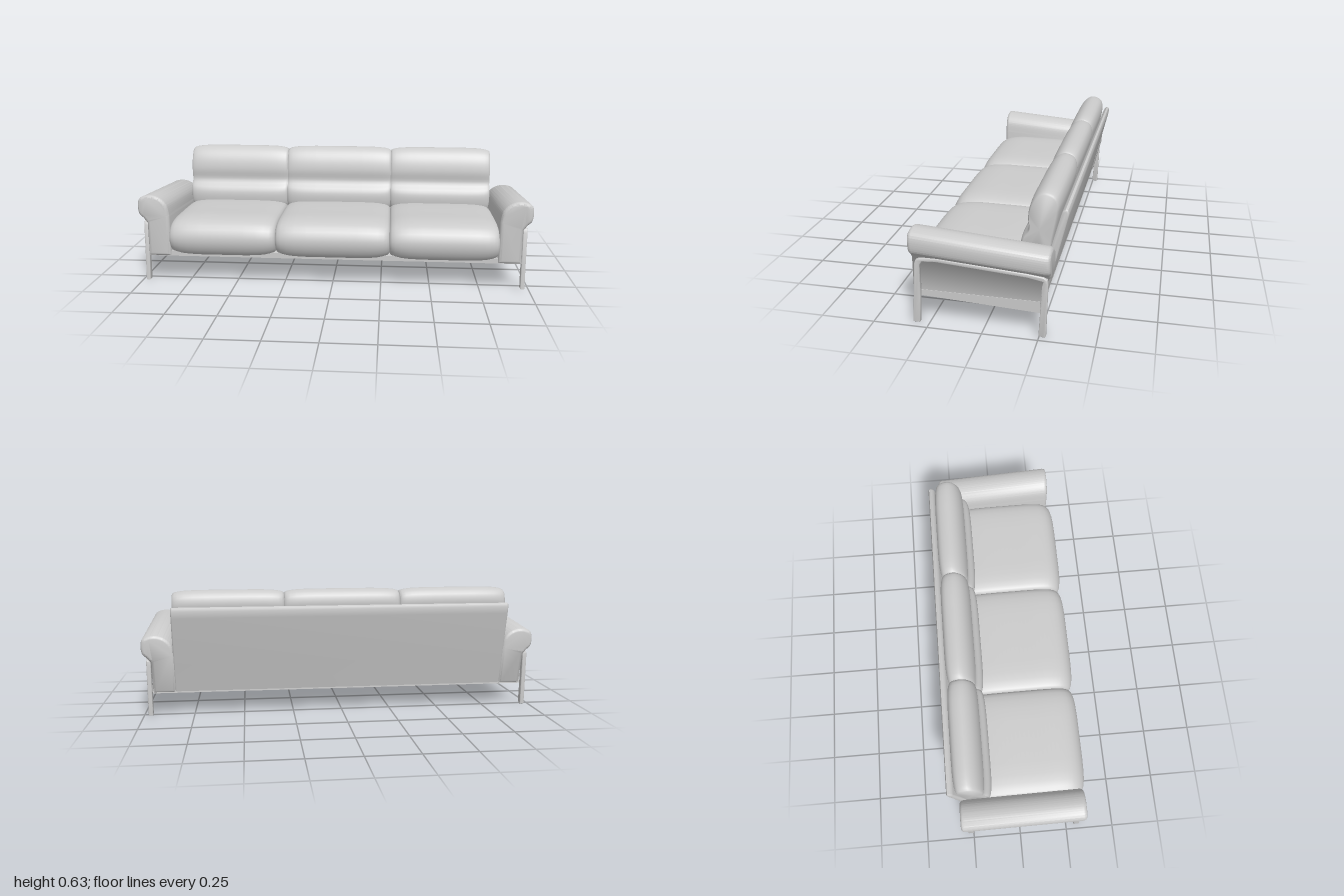
import * as THREE from 'three';
import { toCreasedNormals } from 'three/addons/utils/BufferGeometryUtils.js';

const material = new THREE.MeshStandardMaterial({ color: 0xcccccc });

function addMesh(parent, name, geometry, crease = 0.7) {
  const mesh = new THREE.Mesh(toCreasedNormals(geometry, crease), material);
  mesh.name = name;
  parent.add(mesh);
  return mesh;
}

// Extrudes a [z, y] outline along x, centred on cx.
function slab(shape, width, cx, bevel) {
  const geometry = new THREE.ExtrudeGeometry(shape, {
    depth: width - 2 * bevel, bevelEnabled: bevel > 0, bevelSize: bevel,
    bevelOffset: -bevel, bevelThickness: bevel, bevelSegments: 3, curveSegments: 8,
  });
  geometry.rotateY(-Math.PI / 2);
  geometry.translate(cx + width / 2 - bevel, 0, 0);
  return geometry;
}

const outline = (points) => new THREE.Shape(points.map(([z, y]) => new THREE.Vector2(z, y)));

// Lofts a closed [z, y] profile from x0 to x1, drawn in towards both ends.
function cushion(profile, x0, x1, pinch) {
  const curve = new THREE.CatmullRomCurve3(
    profile.map(([z, y]) => new THREE.Vector3(0, y, z)), true, 'centripetal');
  const n = 64;
  const ring = curve.getSpacedPoints(n).slice(0, n);
  const box = new THREE.Box3().setFromPoints(ring);
  const mid = box.getCenter(new THREE.Vector3());
  const half = box.getSize(new THREE.Vector3()).multiplyScalar(0.5);
  // [distance from the end, share of the pinch]; null closes the end
  const ends = [[0, null], [0, 1], [0.004, 0.75], [0.013, 0.53], [0.03, 0.33], [0.06, 0.15], [0.1, 0.05], [0.16, 0]];
  const stations = [
    ...ends.map(([d, k]) => [x0 + d, k]),
    ...ends.map(([d, k]) => [x1 - d, k]).reverse(),
  ];
  const positions = [], index = [];
  stations.forEach(([x, k], i) => {
    const sy = k === null ? 0 : 1 - (pinch * k) / half.y;
    const sz = k === null ? 0 : 1 - (pinch * k) / half.z;
    ring.forEach((p, j) => {
      positions.push(x, mid.y + (p.y - mid.y) * sy, mid.z + (p.z - mid.z) * sz);
      if (i === stations.length - 1) return;
      const a = i * n + j, b = i * n + ((j + 1) % n);
      index.push(a, b, a + n, b, b + n, a + n);
    });
  });
  const geometry = new THREE.BufferGeometry();
  geometry.setAttribute('position', new THREE.Float32BufferAttribute(positions, 3));
  geometry.setIndex(index);
  return geometry;
}

// Rolled armrest: one cross-section run front to back, sloping down to the rear.
function armGeometry(side) {
  const v = (x, y) => new THREE.Vector2(side * x, y);
  const shape = new THREE.Shape();
  shape.moveTo(side * 0.955, 0.14);
  shape.lineTo(side * 0.955, 0.315);
  shape.splineThru([
    v(0.972, 0.338), v(0.996, 0.365), v(1, 0.415), v(0.985, 0.447),
    v(0.935, 0.461), v(0.885, 0.447), v(0.85, 0.41), v(0.838, 0.35),
  ]);
  shape.lineTo(side * 0.838, 0.14);
  const bevel = 0.018;
  const geometry = new THREE.ExtrudeGeometry(shape, {
    depth: 0.622 - 2 * bevel, bevelSize: bevel, bevelOffset: -bevel,
    bevelThickness: bevel, bevelSegments: 4, curveSegments: 40,
  });
  geometry.translate(0, 0, -0.3 + bevel);
  const pos = geometry.attributes.position;
  for (let i = 0; i < pos.count; i++) {
    let y = pos.getY(i), z = pos.getZ(i);
    y -= (0.31 - z) * (0.05 + 0.1 * (y - 0.14));
    if (z < 0) z += Math.max(0, 0.29 - y) * 0.25;
    pos.setXYZ(i, pos.getX(i), y, z);
  }
  return geometry;
}

export function createModel() {
  const sofa = new THREE.Group();
  sofa.name = 'sofa';

  // Sloping base under the seat
  addMesh(sofa, 'base', slab(outline([
    [0.308, 0.138], [0.308, 0.165], [-0.25, 0.165], [-0.252, 0.11],
  ]), 1.914, 0, 0));

  // Leaning back panel
  addMesh(sofa, 'backPanel', slab(outline([
    [-0.25, 0.11], [-0.2, 0.112], [-0.25, 0.28], [-0.318, 0.53], [-0.325, 0.545],
    [-0.337, 0.553], [-0.347, 0.549], [-0.352, 0.535], [-0.345, 0.5], [-0.287, 0.26],
  ]), 1.69, 0, 0.008));

  // Three seat and three back cushions
  const seatProfile = [
    [0.1, 0.34], [0.24, 0.337], [0.31, 0.318], [0.343, 0.28], [0.354, 0.235], [0.342, 0.185],
    [0.315, 0.152], [0.2, 0.145], [-0.22, 0.14], [-0.26, 0.2], [-0.25, 0.29], [-0.18, 0.325],
  ];
  const backProfile = [
    [-0.25, 0.629], [-0.212, 0.612], [-0.182, 0.57], [-0.166, 0.505], [-0.17, 0.445], [-0.16, 0.425],
    [-0.137, 0.395], [-0.13, 0.35], [-0.145, 0.29], [-0.2, 0.27], [-0.262, 0.28], [-0.288, 0.4],
    [-0.315, 0.535], [-0.318, 0.57], [-0.303, 0.611],
  ];
  const seams = [-0.842, -0.292, 0.292, 0.842];
  ['right', 'middle', 'left'].forEach((place, i) => {
    addMesh(sofa, place + 'SeatCushion', cushion(seatProfile, seams[i], seams[i + 1], 0.034), 0.9);
    addMesh(sofa, place + 'BackCushion', cushion(backProfile, seams[i], seams[i + 1], 0.02), 0.9);
  });

  // Flat-bar end frame: two legs joined by a rail under the arm roll
  const frameShape = outline([
    [0.322, 0.008], [0.312, 0.14], [0.302, 0.3], [0.294, 0.318], [0.275, 0.328], [0.2, 0.332],
    [-0.2, 0.302], [-0.27, 0.292], [-0.285, 0.28], [-0.288, 0.26], [-0.28, 0.004],
    [-0.268, 0], [-0.248, 0.008], [-0.254, 0.11], [-0.262, 0.25], [-0.268, 0.272], [-0.2, 0.284],
    [0.2, 0.315], [0.265, 0.312], [0.277, 0.295], [0.281, 0.14], [0.29, 0.008],
  ]);

  for (const [side, label] of [[1, 'left'], [-1, 'right']]) {
    addMesh(sofa, label + 'Arm', armGeometry(side));
    addMesh(sofa, label + 'LegFrame', slab(frameShape, 0.022, side * 0.966, 0.004));
  }
  return sofa;
}
